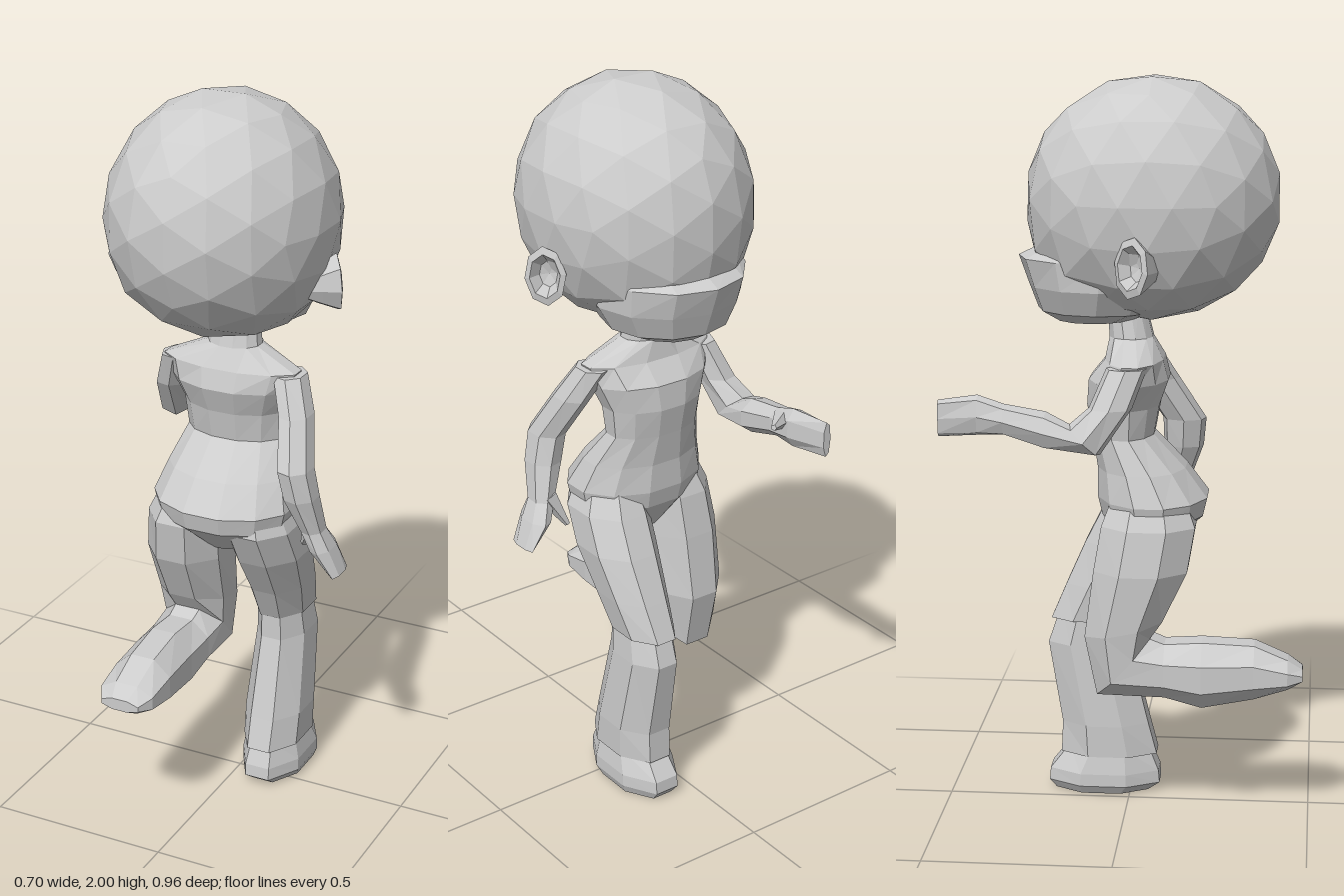
import * as THREE from 'three';

const grey = new THREE.MeshStandardMaterial({ color: 0xcccccc, flatShading: true });
grey.name = 'light grey';

// Lofts a closed skin through rings [x, y, z, halfWidth, halfDepth, tilt in degrees about x].
function loft(name, rings, n = 8, turn = 0.5) {
  const pos = [], idx = [];
  for (const [x, y, z, a, b, tilt = 0] of rings) {
    const t = THREE.MathUtils.degToRad(tilt);
    for (let i = 0; i < n; i++) {
      const q = ((i + turn) / n) * Math.PI * 2;
      const d = b * Math.sin(q);
      pos.push(x + a * Math.cos(q), y + d * Math.sin(t), z + d * Math.cos(t));
    }
  }
  const last = (rings.length - 1) * n;
  for (let r = 0; r < last; r += n) {
    for (let i = 0; i < n; i++) {
      const j = (i + 1) % n;
      idx.push(r + i, r + j, r + n + i, r + j, r + n + j, r + n + i);
    }
  }
  for (let i = 1; i < n - 1; i++) idx.push(0, i + 1, i, last, last + i, last + i + 1);
  // Turn the skin outward if the rings run the other way
  const p = (k) => new THREE.Vector3().fromArray(pos, idx[k] * 3);
  let volume = 0;
  for (let k = 0; k < idx.length; k += 3) volume += p(k).dot(p(k + 1).cross(p(k + 2)));
  if (volume < 0) idx.reverse();
  const g = new THREE.BufferGeometry();
  g.setAttribute('position', new THREE.Float32BufferAttribute(pos, 3));
  g.setIndex(idx);
  g.computeVertexNormals();
  return named(name, g);
}

function named(name, geometry) {
  const m = new THREE.Mesh(geometry, grey);
  m.name = name;
  return m;
}

// Faceted skull, fuller towards the jaw and face
function skull() {
  const g = new THREE.IcosahedronGeometry(1, 2);
  const p = g.attributes.position;
  for (let i = 0; i < p.count; i++) {
    let x = p.getX(i), y = p.getY(i), z = p.getZ(i);
    if (y < 0) {
      x *= 1 + 0.2 * y * y;
      if (z < 0) z *= 1 + 0.3 * y * y;
    }
    p.setXYZ(i, -0.013 + x * 0.302, 1.68 + y * 0.322, 0.067 + z * 0.338);
  }
  g.computeVertexNormals();
  return named('head', g);
}

// Cupped ear flaring outward and to the back
function ear(side) {
  const profile = [[0.02, -0.05], [0.04, 0], [0.057, 0.045], [0.042, 0.05], [0.025, 0.02], [0, 0.012]];
  const cup = named('earCup', new THREE.LatheGeometry(profile.map(([r, h]) => new THREE.Vector2(r, h)), 8));
  cup.quaternion.setFromUnitVectors(new THREE.Vector3(0, 1, 0), new THREE.Vector3(side * 0.8, 0.08, -0.6).normalize());
  const group = new THREE.Group();
  group.name = side > 0 ? 'leftEar' : 'rightEar';
  group.add(cup);
  group.scale.y = 1.4;
  group.position.set(-0.013 + side * 0.268, 1.525, 0.06);
  return group;
}

function thumb(name, from, to) {
  const a = new THREE.Vector3(...from), b = new THREE.Vector3(...to);
  const m = named(name, new THREE.CylinderGeometry(0.008, 0.028, a.distanceTo(b), 5));
  m.position.copy(a).lerp(b, 0.5);
  m.quaternion.setFromUnitVectors(new THREE.Vector3(0, 1, 0), b.sub(a).normalize());
  return m;
}

export function createModel() {
  const model = new THREE.Group();
  model.name = 'runningFigure';

  // Head with a jutting jaw; the face looks towards -z
  model.add(skull(), ear(1), ear(-1));
  model.add(loft('jaw', [
    [-0.013, 1.355, -0.09, 0.1, 0.1],
    [-0.013, 1.385, -0.07, 0.17, 0.17],
    [-0.013, 1.45, -0.06, 0.205, 0.205],
    [-0.013, 1.525, -0.055, 0.21, 0.237],
    [-0.013, 1.555, -0.05, 0.2, 0.18],
  ], 12, 0));

  // Neck, chest, waist and hips
  model.add(loft('torso', [
    [-0.012, 0.74, 0.05, 0.06, 0.06],
    [-0.012, 0.83, 0.07, 0.19, 0.14],
    [-0.012, 0.88, 0.07, 0.202, 0.152],
    [-0.012, 0.96, 0.04, 0.175, 0.122],
    [-0.014, 1.05, -0.01, 0.14, 0.085],
    [-0.014, 1.13, -0.01, 0.15, 0.1],
    [-0.014, 1.2, 0.005, 0.18, 0.11],
    [-0.014, 1.255, 0.02, 0.2, 0.08],
    [-0.01, 1.31, 0.01, 0.075, 0.06],
    [-0.008, 1.4, -0.005, 0.058, 0.052],
  ], 12));

  // Standing leg and shoe
  model.add(loft('leftThigh', [
    [0.085, 0.92, 0.065, 0.07, 0.095],
    [0.093, 0.82, 0.05, 0.104, 0.135],
    [0.098, 0.72, 0.0, 0.104, 0.135],
    [0.095, 0.6, -0.065, 0.09, 0.122],
    [0.09, 0.5, -0.112, 0.077, 0.117],
  ]));
  model.add(loft('leftShin', [
    [0.09, 0.54, -0.1, 0.07, 0.1],
    [0.092, 0.43, -0.118, 0.078, 0.12],
    [0.092, 0.2, -0.07, 0.09, 0.13],
    [0.092, 0.11, -0.06, 0.088, 0.145],
  ]));
  model.add(loft('leftFoot', [
    [0.092, 0.13, -0.06, 0.08, 0.12],
    [0.092, 0.06, -0.073, 0.094, 0.165],
    [0.092, 0.025, -0.073, 0.094, 0.168],
    [0.095, 0, -0.08, 0.08, 0.14],
  ]));

  // Raised leg, bent at the knee with the foot trailing
  model.add(loft('rightLeg', [
    [-0.1, 0.92, 0.065, 0.08, 0.095],
    [-0.118, 0.82, 0.065, 0.112, 0.135],
    [-0.128, 0.7, 0.045, 0.118, 0.135],
    [-0.13, 0.54, 0, 0.107, 0.115, 12],
    [-0.13, 0.435, 0, 0.097, 0.115, 48],
    [-0.13, 0.425, 0.11, 0.092, 0.08, 90],
    [-0.13, 0.415, 0.21, 0.092, 0.098, 90],
    [-0.12, 0.423, 0.35, 0.09, 0.08, 90],
    [-0.12, 0.418, 0.44, 0.084, 0.044, 90],
    [-0.12, 0.415, 0.48, 0.06, 0.018, 90],
  ]));

  // Left arm hanging behind
  model.add(loft('leftArm', [
    [0.155, 1.25, 0.02, 0.045, 0.055],
    [0.195, 1.16, 0.065, 0.045, 0.062],
    [0.228, 1.04, 0.138, 0.047, 0.062],
    [0.244, 0.96, 0.135, 0.047, 0.057],
    [0.27, 0.86, 0.11, 0.032, 0.045],
    [0.295, 0.81, 0.1, 0.03, 0.06],
    [0.338, 0.74, 0.095, 0.012, 0.048],
  ], 7));
  model.add(thumb('leftThumb', [0.26, 0.87, 0.09], [0.218, 0.785, 0.06]));

  // Right arm bent, forearm reaching ahead
  model.add(loft('rightArm', [
    [-0.18, 1.25, 0.01, 0.045, 0.055],
    [-0.215, 1.15, -0.03, 0.05, 0.058],
    [-0.238, 1.07, -0.095, 0.055, 0.058, -45],
    [-0.218, 1.09, -0.2, 0.054, 0.05, -90],
    [-0.21, 1.115, -0.31, 0.04, 0.042, -90],
    [-0.205, 1.125, -0.38, 0.03, 0.055, -90],
    [-0.228, 1.12, -0.48, 0.012, 0.05, -90],
  ], 7));
  model.add(thumb('rightThumb', [-0.2, 1.135, -0.335], [-0.122, 1.15, -0.392]));

  return model;
}
